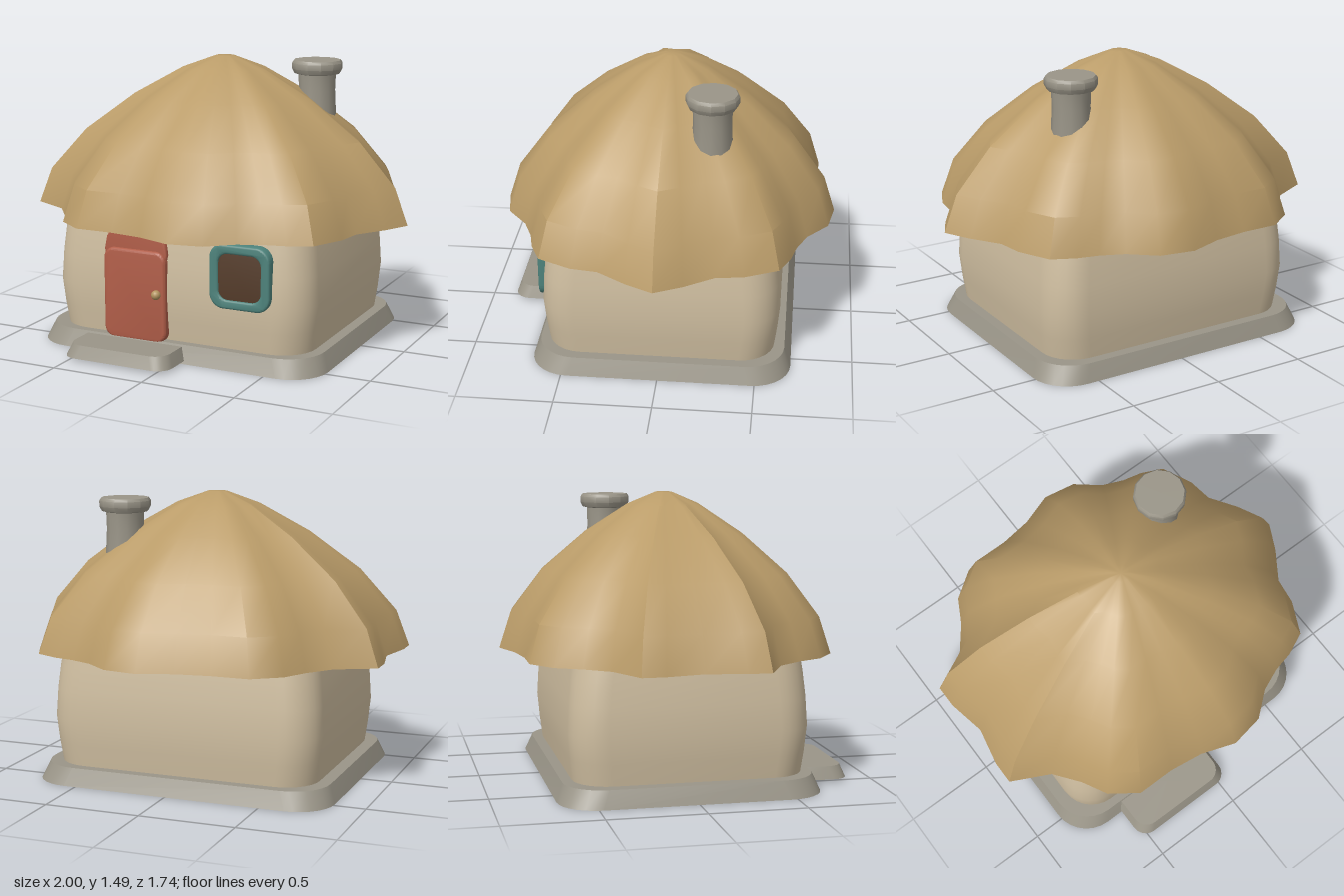
import * as THREE from 'three';
import { toCreasedNormals } from 'three/addons/utils/BufferGeometryUtils.js';

const material = (name, color, side = THREE.FrontSide) => {
  const m = new THREE.MeshStandardMaterial({ color, side });
  m.name = name;
  return m;
};

// Skin through closed rings of [x, y, z] points, listed bottom to top, with optional end caps
function loft(rings, capBottom, capTop, crease) {
  const n = rings[0].length, pos = rings.flat(2), idx = [];
  for (let j = 0; j < rings.length - 1; j++) {
    for (let i = 0; i < n; i++) {
      const k = (i + 1) % n, a = j * n + i, b = j * n + k;
      idx.push(a, b, b + n, a, b + n, a + n);
    }
  }
  const cap = (j, up) => {
    const c = pos.length / 3;
    for (let d = 0; d < 3; d++) pos.push(rings[j].reduce((s, p) => s + p[d], 0) / n);
    for (let i = 0; i < n; i++) {
      const a = j * n + i, b = j * n + (i + 1) % n;
      idx.push(c, up ? a : b, up ? b : a);
    }
  };
  if (capBottom) cap(0, false);
  if (capTop) cap(rings.length - 1, true);
  const g = new THREE.BufferGeometry();
  g.setAttribute('position', new THREE.Float32BufferAttribute(pos, 3));
  g.setIndex(idx);
  return toCreasedNormals(g, crease);
}

// Horizontal rounded rectangle, counter-clockwise seen from above
function roundedRing(cx, cz, hw, hd, r, y, steps = 7) {
  const ring = [];
  for (let q = 0; q < 4; q++) {
    const sx = q === 0 || q === 3 ? 1 : -1, sz = q < 2 ? -1 : 1;
    for (let i = 0; i <= steps; i++) {
      const t = (q + i / steps) * Math.PI / 2;
      ring.push([cx + sx * (hw - r) + r * Math.cos(t), y, cz + sz * (hd - r) - r * Math.sin(t)]);
    }
  }
  return ring;
}

// Upright rounded rectangle outline
function roundedOutline(x0, y0, x1, y1, r, type = THREE.Shape) {
  const s = new type(), P = Math.PI;
  s.absarc(x1 - r, y0 + r, r, -P / 2, 0);
  s.absarc(x1 - r, y1 - r, r, 0, P / 2);
  s.absarc(x0 + r, y1 - r, r, P / 2, P);
  s.absarc(x0 + r, y0 + r, r, P, 1.5 * P);
  s.closePath();
  return s;
}

// Front-facing plate with softened edges between two depths
function plate(shape, z0, z1, bevel) {
  const g = new THREE.ExtrudeGeometry(shape, {
    depth: z1 - z0 - 2 * bevel, bevelSize: bevel, bevelThickness: bevel,
    bevelOffset: -bevel, bevelSegments: 3, curveSegments: 8,
  });
  g.translate(0, 0, z0 + bevel);
  return toCreasedNormals(g, 0.65);
}

export function createModel() {
  const group = new THREE.Group();
  const stone = material('stone', 0x9a9588);
  const plaster = material('plaster', 0xd0bfa1);
  const thatch = material('thatch', 0xba9c69, THREE.DoubleSide);
  const doorRed = material('door red', 0xb05d48);
  const teal = material('teal trim', 0x4d827b);
  const dark = material('dark glass', 0x553c2a);
  const brass = material('brass', 0xb39560);
  const add = (name, geometry, mat) => {
    const m = new THREE.Mesh(geometry, mat);
    m.name = name;
    group.add(m);
    return m;
  };
  const cx = -0.03;

  // Tapered stone footing and door step
  add('foundation', loft([[0, 0.8], [0.09, 0.765]].map(([y, h]) =>
    roundedRing(cx - 0.005, -0.005, h, h - 0.125, 0.2, y)), true, true, 0.6), stone);
  add('doorStep', loft([[0.015, 0.3], [0.08, 0.275]].map(([y, h]) =>
    roundedRing(-0.24, 0.7, h, h - 0.13, 0.08, y)), true, true, 0.6), stone);

  // Walls, bulging gently at mid height
  const wallProfile = [[0.06, 0.7], [0.2, 0.717], [0.33, 0.728], [0.48, 0.72], [0.6, 0.708], [0.7, 0.695]];
  add('walls', loft(wallProfile.map(([y, h]) =>
    roundedRing(cx, 0, h, h - 0.113, 0.18, y)), true, true, 0.6), plaster);

  // Thatched roof: a wavy eave, mirrored front to back, shrinking towards the peak
  const eave = [[1, 0], [0.93, 0.14], [0.83, 0.29], [0.81, 0.43], [0.73, 0.6], [0.61, 0.655], [0.5, 0.68],
    [0.38, 0.73], [0.25, 0.837], [0.07, 0.868], [-0.11, 0.805], [-0.29, 0.78], [-0.49, 0.78], [-0.63, 0.68],
    [-0.7, 0.55], [-0.8, 0.42], [-1, 0.32], [-1, 0.2], [-0.96, 0]];
  const back = eave.map(([x, z]) => [x, -z]);
  const outline = [...back, ...eave.slice(1, -1).reverse()];
  const roofProfile = [[0.67, 1], [0.86, 0.93], [1.08, 0.74], [1.28, 0.475], [1.425, 0.22], [1.488, 0.05]];
  add('roof', loft(roofProfile.map(([y, s]) =>
    outline.map(([x, z]) => [cx + (x - cx) * s, y, z * s - 0.006])), false, true, 0.6), thatch);

  // Chimney with a flared cap
  const chimneyProfile = [[0, 1.05], [0.105, 1.05], [0.102, 1.2], [0.097, 1.3], [0.1, 1.385], [0.122, 1.39],
    [0.135, 1.415], [0.135, 1.445], [0.125, 1.46], [0, 1.46]].map(([r, y]) => new THREE.Vector2(r, y));
  const chimney = add('chimney',
    toCreasedNormals(new THREE.LatheGeometry(chimneyProfile, 12), 0.6), stone);
  chimney.position.set(0.396, 0, -0.245);

  // Door leaf, arched head behind it, and knob
  add('doorLeaf', plate(roundedOutline(-0.415, 0.075, -0.06, 0.555, 0.06), 0.56, 0.638, 0.014), doorRed);
  const arch = new THREE.Shape();
  arch.absarc(-0.238, 0.54, 0.181, 0, Math.PI * 2);
  add('doorArch', plate(arch, 0.54, 0.62, 0.01), doorRed);
  add('doorKnob', new THREE.SphereGeometry(0.025, 14, 10), brass).position.set(-0.107, 0.335, 0.645);

  // Window frame with inset pane
  const frame = roundedOutline(0.19, 0.31, 0.52, 0.64, 0.075);
  frame.holes.push(roundedOutline(0.24, 0.358, 0.47, 0.592, 0.05, THREE.Path));
  add('windowFrame', plate(frame, 0.56, 0.643, 0.012), teal);
  add('windowPane', plate(roundedOutline(0.228, 0.347, 0.482, 0.603, 0.055), 0.627, 0.634, 0.001), dark);

  return group;
}
